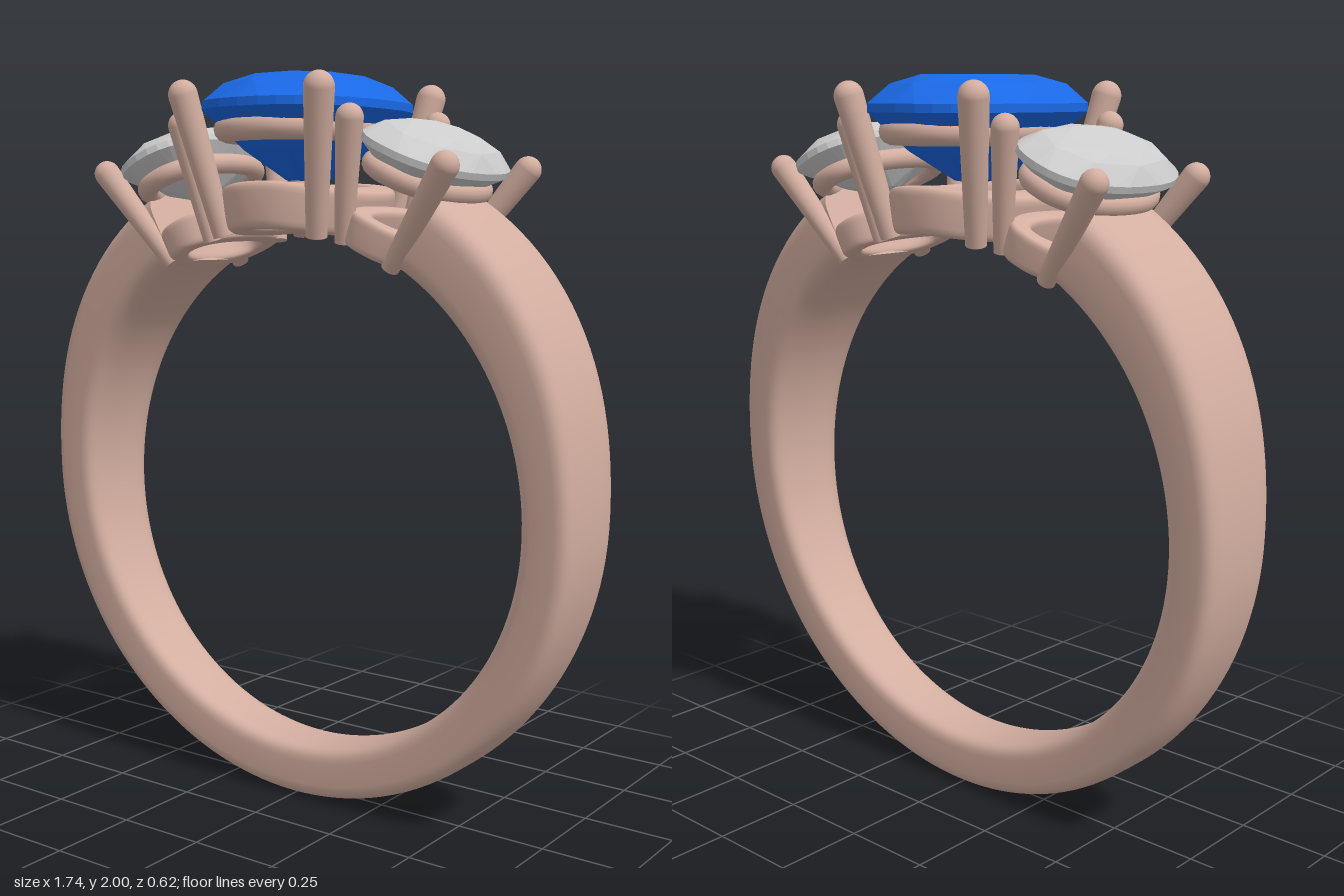
import * as THREE from 'three';
import { ConvexGeometry } from 'three/addons/geometries/ConvexGeometry.js';

const CENTRE_Y = 0.875; // axis of the finger hole
const INNER = 0.72;     // finger hole radius
const TAU = Math.PI * 2;

const metal = new THREE.MeshStandardMaterial({ color: 0xd3aea0 });
const blue = new THREE.MeshStandardMaterial({ color: 0x1a68e6, flatShading: true });
const clear = new THREE.MeshStandardMaterial({ color: 0xcccccc, flatShading: true });

// Point on a superellipse; n = 2 is an ellipse, larger n is squarer
function oval(t, a, b, n) {
  const c = Math.cos(t), s = Math.sin(t);
  return [a * Math.sign(c) * Math.abs(c) ** (2 / n), b * Math.sign(s) * Math.abs(s) ** (2 / n)];
}

function mesh(geometry, material, name) {
  const m = new THREE.Mesh(geometry, material);
  m.name = name;
  return m;
}

// Smooth skin over rows x cols points; point(i, j) returns [x, y, z]
function skin(rows, cols, point, closeRows, capEnds) {
  const pos = [], idx = [];
  for (let i = 0; i < rows; i++) for (let j = 0; j < cols; j++) pos.push(...point(i, j));
  for (let i = 0; i < (closeRows ? rows : rows - 1); i++) {
    for (let j = 0; j < cols; j++) {
      const k = (j + 1) % cols, n = (i + 1) % rows;
      const a = i * cols + j, b = i * cols + k, c = n * cols + k, d = n * cols + j;
      idx.push(a, b, c, a, c, d);
    }
  }
  if (capEnds) {
    // Caps get their own points so the end edges stay sharp
    for (const row of [0, rows - 1]) {
      const start = pos.length / 3;
      for (let j = 0; j < cols; j++) pos.push(...point(row, j));
      for (let j = 1; j < cols - 1; j++) {
        if (row === 0) idx.push(start, start + j + 1, start + j);
        else idx.push(start, start + j, start + j + 1);
      }
    }
  }
  const g = new THREE.BufferGeometry();
  g.setAttribute('position', new THREE.Float32BufferAttribute(pos, 3));
  g.setIndex(idx);
  g.computeVertexNormals();
  return g;
}

// Open shank, wider and thicker towards the shoulders
function band() {
  const rows = 121, cols = 40, gap = THREE.MathUtils.degToRad(29);
  return skin(rows, cols, (i, j) => {
    const a = gap + (TAU - 2 * gap) * i / (rows - 1); // clockwise from the top
    const rise = Math.max(0, Math.cos(a));
    const outer = 0.87 + 0.062 * THREE.MathUtils.smoothstep(rise, 0, 0.9);
    const mid = (INNER + outer) / 2;
    const halfWidth = 0.09 + 0.08 * (mid * Math.cos(a) + 0.82) / 1.55;
    const [dr, z] = oval(j / cols * TAU, (outer - INNER) / 2, halfWidth, 4.5);
    const r = mid + dr;
    return [Math.sin(a) * r, CENTRE_Y + Math.cos(a) * r, z];
  }, false, true);
}

// Oval collar bent to follow the finger hole
function collar(x, z, wall, height) {
  const cols = 24;
  return skin(64, cols, (i, j) => {
    const [across, up] = oval(j / cols * TAU, wall / 2, height / 2, 5);
    const t = i / 64 * TAU;
    const [px, pz] = oval(t, x - wall / 2 + across, z - wall / 2 + across, 2.3);
    const r = INNER + height / 2 + up;
    return [Math.sin(px / INNER) * r, Math.cos(px / INNER) * r, pz];
  }, true, false);
}

// Round oval wire below the stone
function gallery(x, z, y, tube) {
  const cols = 14;
  return skin(64, cols, (i, j) => {
    const v = j / cols * TAU;
    const w = tube * Math.cos(v);
    const [px, pz] = oval(i / 64 * TAU, x + w, z + w, 2.3);
    return [px, y + tube * Math.sin(v), pz];
  }, true, false);
}

// Cushion-oval cut: table, crown, girdle, pavilion and culet as one faceted hull
function stone(x, z, levels) {
  const points = [];
  for (const [y, scale, count, shift] of levels) {
    for (let i = 0; i < count; i++) {
      const [px, pz] = oval((i + shift) / count * TAU, x * scale, z * scale, 2.4);
      points.push(new THREE.Vector3(px, y, pz));
    }
  }
  return new ConvexGeometry(points);
}

// Tapered claw with a domed tip
function prong(foot, tip, rFoot, rTip) {
  const dir = tip.clone().sub(foot), length = dir.length();
  const profile = [new THREE.Vector2(0, 0), new THREE.Vector2(rFoot, 0), new THREE.Vector2(rFoot, 0.001)];
  for (let i = 0; i <= 8; i++) {
    const a = i / 8 * Math.PI / 2;
    profile.push(new THREE.Vector2(Math.cos(a) * rTip, length + Math.sin(a) * rTip));
  }
  const g = new THREE.LatheGeometry(profile, 18);
  g.applyQuaternion(new THREE.Quaternion().setFromUnitVectors(new THREE.Vector3(0, 1, 0), dir.normalize()));
  return g.translate(foot.x, foot.y, foot.z);
}

// Complete setting; local y is the distance from the finger hole axis
function head(name, s) {
  const g = new THREE.Group();
  g.name = name;
  g.add(mesh(stone(...s.stone), s.material, 'stone'));
  g.add(mesh(collar(...s.collar), metal, 'collar'));
  g.add(mesh(gallery(...s.gallery), metal, 'galleryWire'));
  for (const sx of [-1, 1]) for (const sz of [-1, 1]) {
    const [foot, tip] = [s.foot, s.tip].map(([x, y, z]) => new THREE.Vector3(x * sx, y, z * sz));
    g.add(mesh(prong(foot, tip, ...s.prong), metal, 'prong'));
  }
  g.position.y = CENTRE_Y;
  return g;
}

export function createModel() {
  const ring = new THREE.Group();
  ring.name = 'ring';
  ring.add(mesh(band(), metal, 'band'));

  // Large middle stone
  ring.add(head('centreSetting', {
    material: blue,
    stone: [0.245, 0.31, [
      [1.125, 0.55, 8, 0.5], [1.102, 0.8, 8, 0], [1.052, 1, 32, 0],
      [1.03, 1, 32, 0], [0.93, 0.66, 8, 0.5], [0.85, 0.22, 8, 0],
    ]],
    collar: [0.19, 0.245, 0.075, 0.125],
    gallery: [0.18, 0.255, 0.98, 0.034],
    foot: [0.155, 0.7, 0.18],
    tip: [0.222, 1.07, 0.262],
    prong: [0.028, 0.04],
  }));

  // Smaller stones, swung around the finger hole to each side
  for (const side of [-1, 1]) {
    const h = head(side > 0 ? 'leftSetting' : 'rightSetting', {
      material: clear,
      stone: [0.155, 0.25, [
        [1.06, 0.5, 8, 0.5], [1.044, 0.78, 8, 0], [1.006, 1, 32, 0],
        [0.988, 1, 32, 0], [0.93, 0.64, 8, 0.5], [0.885, 0.2, 8, 0],
      ]],
      collar: [0.115, 0.195, 0.055, 0.09],
      gallery: [0.115, 0.19, 0.935, 0.028],
      foot: [0.078, 0.715, 0.15],
      tip: [0.152, 1.022, 0.208],
      prong: [0.024, 0.036],
    });
    h.rotation.z = -side * THREE.MathUtils.degToRad(24);
    ring.add(h);
  }
  return ring;
}
